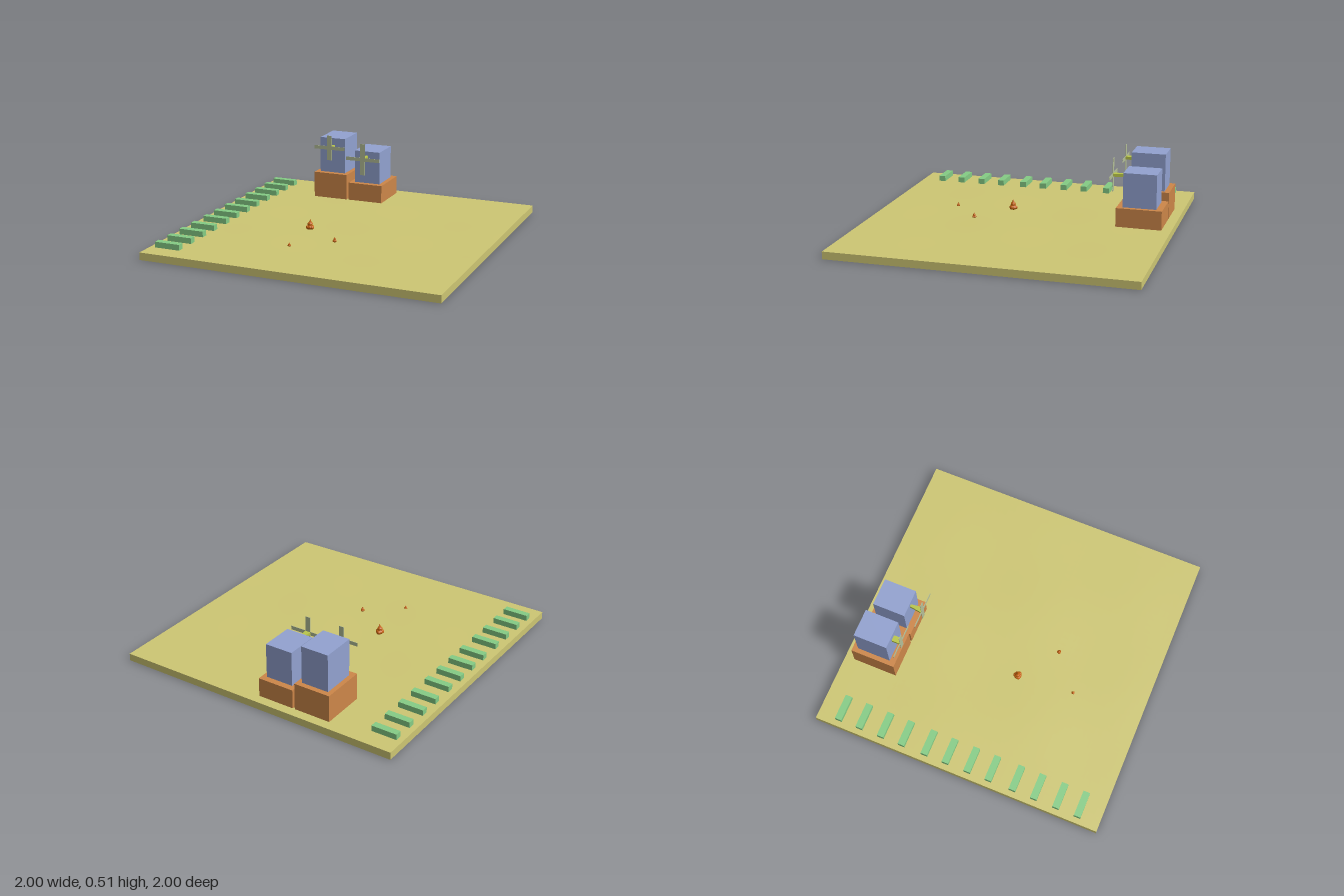
import * as THREE from 'three';

const mat = (color) => new THREE.MeshStandardMaterial({ color });
const materials = {
  ground: mat(0xcdc673), base: mat(0xcd8749), tower: mat(0x92a2d0), bench: mat(0x85cc85),
  blade: mat(0xb4bf98), axle: mat(0xb9c64a), pile: mat(0xc4620f),
};
materials.pile.flatShading = true;

function add(parent, name, geometry, material, x, y, z) {
  const mesh = new THREE.Mesh(geometry, material);
  mesh.name = name;
  mesh.position.set(x, y, z);
  parent.add(mesh);
  return mesh;
}

// Box given by its lower and upper corners
function block(parent, name, material, [x0, y0, z0], [x1, y1, z1]) {
  return add(parent, name, new THREE.BoxGeometry(x1 - x0, y1 - y0, z1 - z0), material,
    (x0 + x1) / 2, (y0 + y1) / 2, (z0 + z1) / 2);
}

// Slab whose top undulates very slightly
function groundGeometry() {
  const g = new THREE.BoxGeometry(2, 0.05, 2, 40, 1, 40);
  const p = g.attributes.position;
  for (let i = 0; i < p.count; i++) {
    if (p.getY(i) < 0) continue;
    const x = p.getX(i), z = p.getZ(i);
    const fade = (1 - x ** 4) * (1 - z ** 4);
    p.setY(i, 0.025 + 0.002 * fade * Math.sin(5 * x + 2 * z) * Math.cos(6 * z - 2 * x));
  }
  g.computeVertexNormals();
  return g;
}

// Windmill: wide base, tower, axle and a cross of flat blades on the front
function windmill({ x, baseTop, top, back, hubY, rotorZ, spanX, spanY, rootWidth }) {
  const mill = new THREE.Group();
  mill.name = 'windmill';
  block(mill, 'millBase', materials.base, [x - 0.126, 0.05, -0.935], [x + 0.126, baseTop, -0.63]);
  block(mill, 'millTower', materials.tower, [x - 0.095, baseTop, back], [x + 0.095, top, -0.67]);

  const length = rotorZ + 0.67;
  const axle = new THREE.BoxGeometry(0.04, 0.02, length);
  const p = axle.attributes.position;
  for (let i = 0; i < p.count; i++) {
    if (p.getZ(i) < 0) p.setX(i, Math.sign(p.getX(i)) * rootWidth / 2);
  }
  axle.computeVertexNormals();
  add(mill, 'axle', axle, materials.axle, x, hubY, -0.67 + length / 2);

  const rotor = new THREE.Group();
  rotor.name = 'rotor';
  rotor.position.set(x, hubY, rotorZ);
  add(rotor, 'crossBlade', new THREE.BoxGeometry(spanX, 0.025, 0.003), materials.blade, 0, 0, 0);
  for (const s of [-1, 1]) {
    const h = (spanY - 0.025) / 2;
    add(rotor, 'uprightBlade', new THREE.BoxGeometry(0.035, h, 0.003), materials.blade,
      0, s * (0.0125 + h / 2), 0);
  }
  mill.add(rotor);
  return mill;
}

// Small heap: rounded lumps stacked to a pointed tip
function pile(x, z, radius, height) {
  const heap = new THREE.Group();
  heap.name = 'heap';
  heap.position.set(x, 0.05, z);
  const lump = (name, r, h, dx, y, dz) => {
    const m = add(heap, name, new THREE.IcosahedronGeometry(1, 1), materials.pile,
      dx * radius, y * height, dz * radius);
    m.scale.set(r * radius, h * height, r * radius);
    m.rotation.y = y * 7;
  };
  lump('lowerLump', 0.85, 0.25, 0, 0.2, 0);
  for (let i = 0; i < 3; i++) {
    const a = i * 2.1 + 0.4;
    lump('sideLump', 0.5, 0.2, 0.48 * Math.cos(a), 0.2, 0.48 * Math.sin(a));
  }
  lump('middleLump', 0.58, 0.22, -0.05, 0.5, 0);
  const tip = add(heap, 'tip', new THREE.ConeGeometry(0.42 * radius, 0.45 * height, 7),
    materials.pile, 0, 0.775 * height, 0);
  tip.rotation.z = -0.12;
  return heap;
}

export function createModel() {
  const model = new THREE.Group();
  model.name = 'windmillField';
  add(model, 'ground', groundGeometry(), materials.ground, 0, 0.025, 0);

  model.add(
    windmill({ x: -0.403, baseTop: 0.232, top: 0.485, back: -0.9, hubY: 0.424,
      rotorZ: -0.613, spanX: 0.232, spanY: 0.18, rootWidth: 0.04 }),
    windmill({ x: -0.135, baseTop: 0.178, top: 0.41, back: -0.893, hubY: 0.37,
      rotorZ: -0.584, spanX: 0.254, spanY: 0.226, rootWidth: 0.016 }),
  );

  // Row of low benches along the right edge
  const benchZ = [-0.85, -0.7, -0.545, -0.395, -0.23, -0.08, 0.075, 0.225, 0.395, 0.545, 0.7, 0.85];
  for (const z of benchZ) {
    block(model, 'bench', materials.bench, [-0.962, 0.05, z - 0.023], [-0.788, 0.088, z + 0.023]);
  }

  model.add(pile(-0.217, 0.13, 0.031, 0.072), pile(0.045, 0.325, 0.015, 0.036),
    pile(-0.187, 0.518, 0.012, 0.028));
  return model;
}
